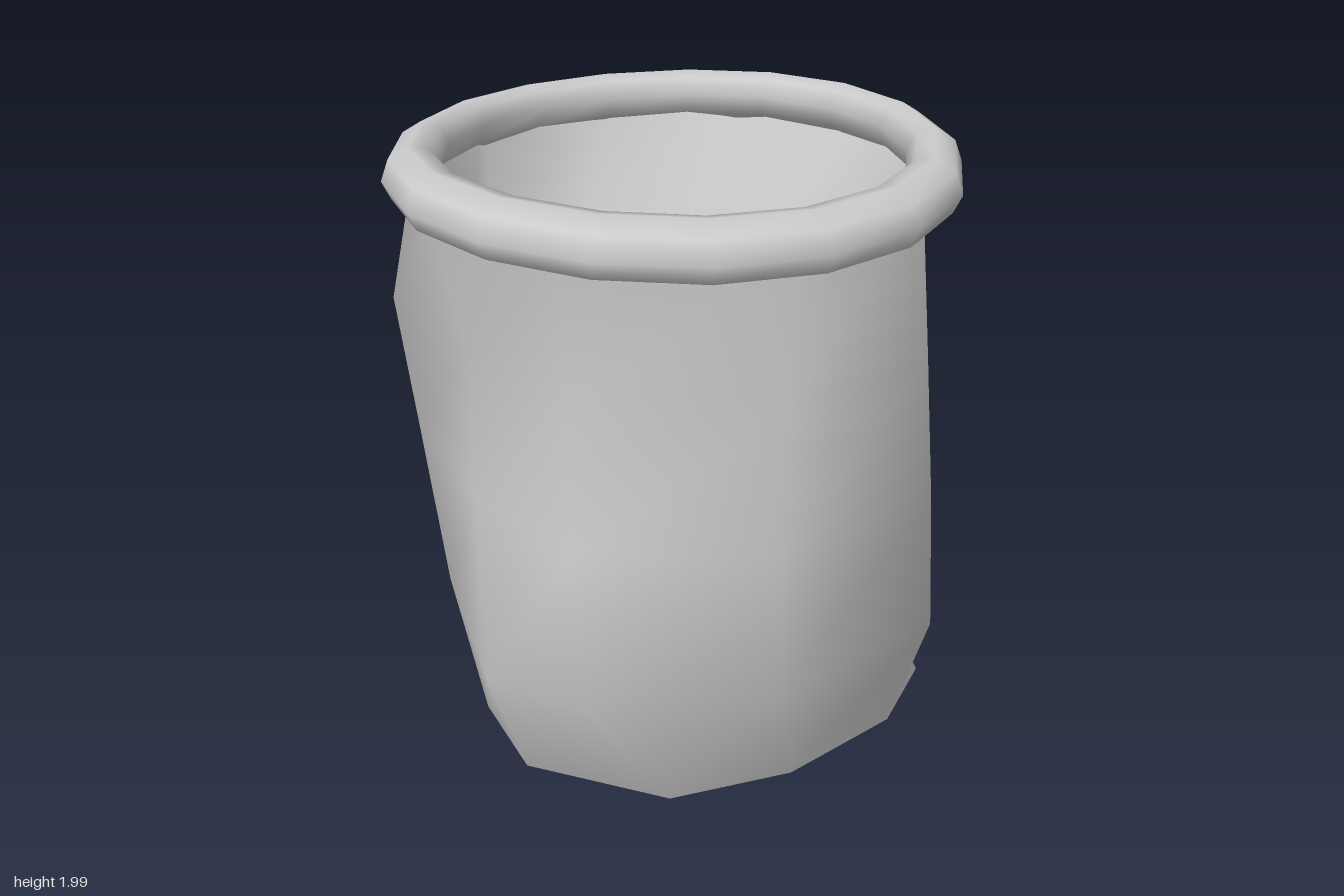
import * as THREE from 'three';

const material = new THREE.MeshStandardMaterial({ color: 0xcccccc });

// Ring from flat x,z pairs, counter-clockwise seen from above
function ring(y, xz) {
  const points = [];
  for (let i = 0; i < xz.length; i += 2) {
    points.push(new THREE.Vector3(xz[i], y, xz[i + 1]));
  }
  return points;
}

function makeMesh(name, points, index) {
  const geometry = new THREE.BufferGeometry().setFromPoints(points);
  geometry.setIndex(index);
  geometry.computeVertexNormals();
  const mesh = new THREE.Mesh(geometry, material);
  mesh.name = name;
  return mesh;
}

// Skin stretched over successive rings
function loft(name, rings) {
  const n = rings[0].length;
  const index = [];
  for (let r = 0; r < rings.length - 1; r++) {
    for (let i = 0; i < n; i++) {
      const j = (i + 1) % n;
      const a = r * n + i, b = r * n + j;
      index.push(a, b, b + n, a, b + n, a + n);
    }
  }
  return makeMesh(name, rings.flat(), index);
}

// Fan filling one ring
function cap(name, points, facesUp) {
  const n = points.length;
  const centre = new THREE.Vector3();
  points.forEach((p) => centre.addScaledVector(p, 1 / n));
  const index = [];
  for (let i = 0; i < n; i++) {
    const j = (i + 1) % n;
    index.push(n, facesUp ? i : j, facesUp ? j : i);
  }
  return makeMesh(name, [...points, centre], index);
}

export function createModel() {
  const group = new THREE.Group();
  group.name = 'openSack';

  // Lumpy cloth body, from the uneven base to the mouth
  const base = ring(0,
    [0.71, 0.46, 0.68, -0.02, 0.50, -0.31, 0.15, -0.67, -0.22, -0.61,
      -0.575, -0.30, -0.64, 0.04, -0.38, 0.45, -0.02, 0.61, 0.40, 0.62]);
  const baseHeights = [0.04, 0.015, 0, 0.02, 0.02, 0.03, 0.035, 0.04, 0.06, 0.07];
  base.forEach((p, i) => p.setY(baseHeights[i]));
  const low = ring(0.54,
    [0.66, 0.04, 0.68, -0.14, 0.60, -0.36, 0.06, -0.70, -0.30, -0.68,
      -0.64, -0.37, -0.83, 0.16, -0.68, 0.47, -0.20, 0.74, 0.39, 0.77]);
  const middle = ring(1.0,
    [0.71, 0.21, 0.79, -0.07, 0.61, -0.40, 0.18, -0.67, -0.23, -0.67,
      -0.61, -0.54, -0.70, -0.06, -0.67, 0.38, -0.22, 0.73, 0.34, 0.77]);
  const high = ring(1.45,
    [0.63, 0.36, 0.835, 0.02, 0.64, -0.36, 0.24, -0.71, -0.20, -0.72,
      -0.64, -0.58, -0.67, -0.10, -0.65, 0.36, -0.20, 0.73, 0.28, 0.765]);
  const mouth = ring(1.88,
    [0.64, 0.36, 0.74, -0.05, 0.60, -0.42, 0.26, -0.69, -0.20, -0.73,
      -0.60, -0.46, -0.78, -0.05, -0.66, 0.38, -0.20, 0.73, 0.29, 0.69]);
  group.add(loft('body', [base, low, middle, high, mouth]));
  group.add(cap('underside', base, false));

  // Inner wall down to the flat filling
  const fill = ring(1.56,
    [0.43, 0.36, 0.57, -0.07, 0.48, -0.35, 0.09, -0.59, -0.28, -0.59,
      -0.50, -0.37, -0.64, 0, -0.54, 0.34, -0.11, 0.55, 0.27, 0.56]);
  group.add(loft('innerWall', [mouth, fill]));
  group.add(cap('filling', fill, true));

  // Rolled rim, drooping outwards and gently rippled
  const radius = 0.745;
  const rimGeometry = new THREE.TorusGeometry(radius, 0.08, 8, 17);
  rimGeometry.rotateX(-Math.PI / 2).rotateY(Math.PI / 2);
  const position = rimGeometry.attributes.position;
  for (let i = 0; i < position.count; i++) {
    const x = position.getX(i), z = position.getZ(i);
    const angle = Math.atan2(z, x);
    const droop = 0.2 * (Math.hypot(x, z) - radius);
    const ripple = 0.009 * Math.cos(2 * angle) + 0.007 * Math.sin(angle);
    position.setY(i, position.getY(i) + ripple - droop);
    position.setZ(i, z * 1.012);
  }
  const rim = new THREE.Mesh(rimGeometry, material);
  rim.name = 'rim';
  rim.position.set(-0.01, 1.903, 0);
  group.add(rim);

  return group;
}
